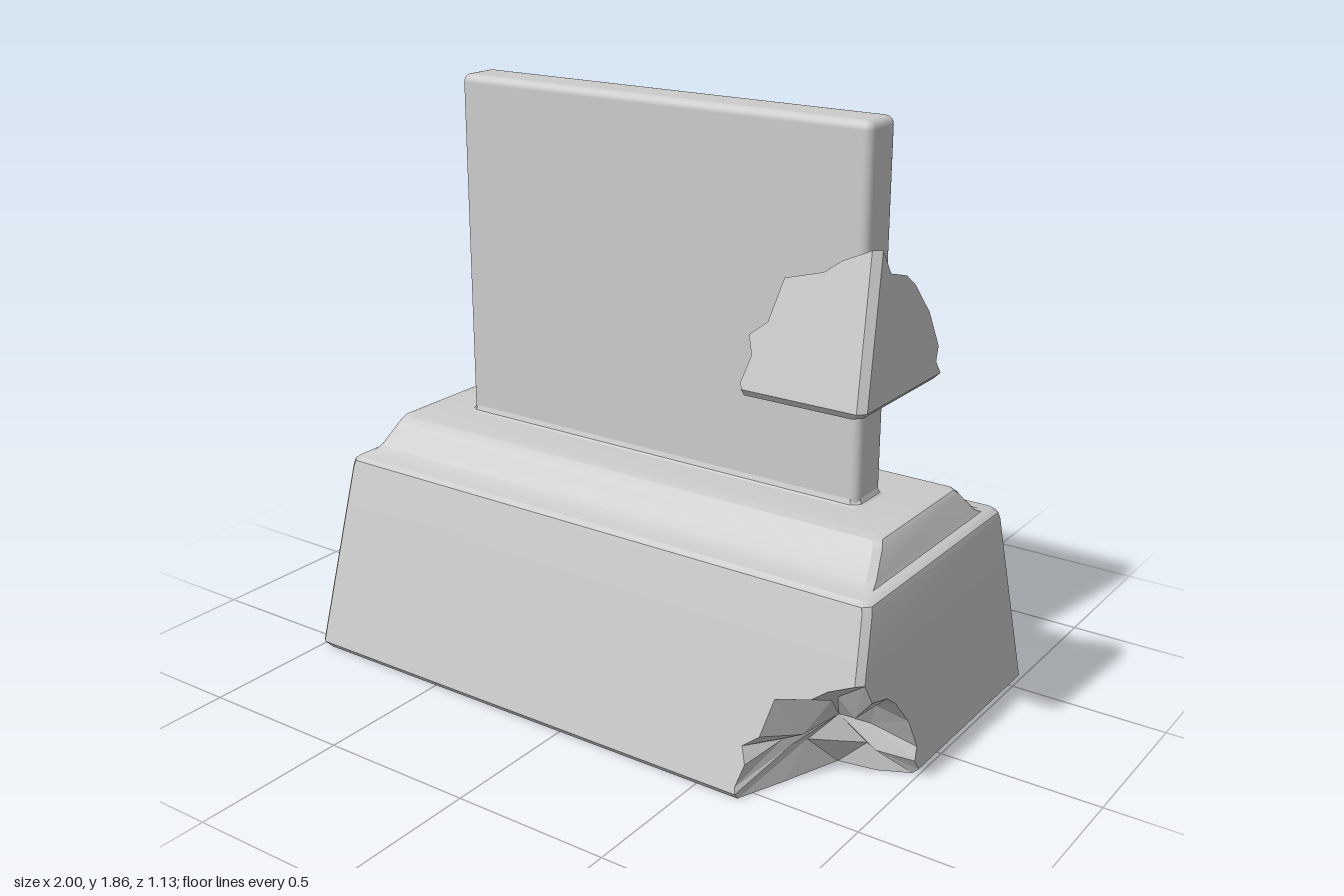
import * as THREE from 'three';
import { toCreasedNormals } from 'three/addons/utils/BufferGeometryUtils.js';
import { RoundedBoxGeometry } from 'three/addons/geometries/RoundedBoxGeometry.js';

const BEVEL = 0.02, BREAK_TOP = 0.415, BAND = 0.45, LIFT = 1.205;

// Half width and half depth of the sloping plinth walls
const halfX = y => 1 - 0.065 * (y - 0.02);
const halfZ = y => 0.565 - 0.246 * (y - 0.02);

// Rectangular ring with cut corners, counter-clockwise from above, front side first
function ring([y, hx, hz], c = BEVEL) {
  return [[c - hx, hz], [hx - c, hz], [hx, hz - c], [hx, c - hz],
    [hx - c, -hz], [c - hx, -hz], [-hx, c - hz], [-hx, hz - c]].map(([x, z]) => [x, y, z]);
}

// Collects triangles, quads and polygons
class Soup {
  constructor() { this.data = []; }
  tri(a, b, c) { this.data.push(...a, ...b, ...c); }
  quad(a, b, c, d) { this.tri(a, b, c); this.tri(a, c, d); }
  polygon(points, place) {
    const flat = points.map(p => new THREE.Vector2(...p));
    for (const f of THREE.ShapeUtils.triangulateShape(flat, [])) {
      this.tri(...f.map(i => place(...points[i])));
    }
  }
  loft(sections, firstSide = 0, c = BEVEL) {
    const rings = sections.map(s => ring(s, c));
    for (let k = 0; k + 1 < rings.length; k++) {
      for (let i = firstSide; i < 8; i++) {
        const j = (i + 1) % 8;
        this.quad(rings[k][i], rings[k][j], rings[k + 1][j], rings[k + 1][i]);
      }
    }
    return rings;
  }
  mesh(name, crease) {
    const g = new THREE.BufferGeometry();
    g.setAttribute('position', new THREE.Float32BufferAttribute(this.data, 3));
    g.computeVertexNormals();
    const m = new THREE.Mesh(crease ? toCreasedNormals(g, crease) : g,
      new THREE.MeshStandardMaterial({ color: 0xcccccc, flatShading: !crease }));
    m.name = name;
    return m;
  }
}

// Placement of 2D outlines on the front wall, right-hand wall (u = -z) and underside
const onFront = (x, y) => [x, y, halfZ(y)];
const onSide = (u, y) => [halfX(y), y, -u];
const onBottom = (x, z) => [x, 0, z];

// Jagged crack lines: up the front, down the side, back across the underside
const frontCrack = [[0.64, 0.02], [0.636, 0.04], [0.657, 0.11], [0.64, 0.16], [0.69, 0.2],
  [0.72, 0.315], [0.83, 0.345], [0.877, 0.38], [halfX(BREAK_TOP) - BEVEL, BREAK_TOP]];
const sideCrack = [[BEVEL - halfZ(BREAK_TOP), BREAK_TOP], [-0.41, 0.348], [-0.327, 0.325], [-0.28, 0.29],
  [-0.204, 0.2], [-0.155, 0.097], [-0.17, 0.058], [-0.145, 0.02]];
const bottomCrack = [[0.98, 0.145], [0.89, 0.19], [0.77, 0.21], [0.7, 0.4], [0.64, 0.55]];
const reversed = list => [...list].reverse();

// Faceted broken surface spanning the crack loop
function fracture(soup, flip) {
  const loop = [...frontCrack.map(p => onFront(...p)), ...sideCrack.map(p => onSide(...p)),
    ...bottomCrack.map(p => onBottom(...p))];
  const centre = [0.79, 0.18, 0.25], n = loop.length;
  const inner = [];
  for (let i = 0; i < n; i += 2) {
    inner.push(loop[i].map((v, k) => v + (centre[k] - v) * 0.5 + 0.022 * Math.sin(i * 5.3 + k * 2.1)));
  }
  const tri = (a, b, c) => (flip ? soup.tri(b, a, c) : soup.tri(a, b, c));
  inner.forEach((p, j) => {
    const next = inner[(j + 1) % inner.length];
    const a = loop[2 * j], b = loop[2 * j + 1], c = loop[(2 * j + 2) % n];
    tri(a, b, p);
    tri(b, c, next);
    tri(b, next, p);
    tri(p, next, centre);
  });
}

export function createModel() {
  const model = new THREE.Group();
  const foot = [0, 0.98, 0.55], low = [0.02, halfX(0.02), halfZ(0.02)], band = [BAND, halfX(BAND), halfZ(BAND)];
  const [r0, r1, r2] = [foot, low, band].map(s => ring(s));
  const frontEnd = frontCrack[frontCrack.length - 1], sideEnd = sideCrack[sideCrack.length - 1];
  const cornerF = onFront(...frontEnd), cornerS = onSide(...sideCrack[0]);
  const bevelF = [0.64, 0, 0.55], bevelS = [0.98, 0, 0.145];
  const crackF = onFront(...frontCrack[0]), crackS = onSide(...sideEnd);

  // Plinth: unbroken lower sides, then the stepped top
  const plinth = new Soup();
  plinth.loft([foot, low, band], 3);
  const rings = plinth.loft([band, [0.605, 0.962, 0.421], [0.625, 0.957, 0.415], [0.637, 0.942, 0.4],
    [0.64, 0.927, 0.355], [0.655, 0.92, 0.325], [0.725, 0.898, 0.255], [0.74, 0.888, 0.238], [0.745, 0.87, 0.215]]);
  plinth.polygon(rings[rings.length - 1].map(p => [p[0], -p[2]]), (x, u) => [x, 0.745, -u]);

  // Plinth: walls and underside around the missing corner
  plinth.polygon([[r1[0][0], 0.02], ...frontCrack, [r2[1][0], BAND], [r2[0][0], BAND]], onFront);
  plinth.polygon([[-r1[3][2], 0.02], [-r2[3][2], BAND], [-r2[2][2], BAND], ...sideCrack], onSide);
  plinth.quad(cornerF, cornerS, r2[2], r2[1]);
  plinth.quad(r0[0], bevelF, crackF, r1[0]);
  plinth.quad(bevelS, r0[3], r1[3], crackS);
  const flat = r0.map(p => [p[0], p[2]]);
  plinth.polygon([flat[5], flat[4], flat[3], ...bottomCrack, flat[0], flat[7], flat[6]], onBottom);
  model.add(plinth.mesh('plinth', 0.5));

  const scar = new Soup();
  fracture(scar, true);
  model.add(scar.mesh('brokenCorner'));

  // Loose corner piece floating above its place
  const chip = new THREE.Group();
  chip.name = 'cornerFragment';
  chip.position.y = LIFT;
  const skin = new Soup();
  skin.polygon([[r1[1][0], 0.02], ...reversed(frontCrack)], onFront);
  skin.polygon([[-r1[2][2], 0.02], ...reversed(sideCrack)], onSide);
  skin.quad(r1[1], r1[2], cornerS, cornerF);
  skin.quad(bevelF, r0[1], r1[1], crackF);
  skin.quad(r0[1], r0[2], r1[2], r1[1]);
  skin.quad(r0[2], bevelS, crackS, r1[2]);
  skin.polygon([bottomCrack[0], flat[2], flat[1], ...reversed(bottomCrack.slice(1))], onBottom);
  const inside = new Soup();
  fracture(inside, false);
  chip.add(skin.mesh('fragmentSkin', 0.5), inside.mesh('fragmentBreak'));
  model.add(chip);

  // Upright slab with a small flare where it meets the plinth
  const slab = new THREE.Mesh(new RoundedBoxGeometry(1.45, 1.135, 0.146, 3, 0.026),
    new THREE.MeshStandardMaterial({ color: 0xcccccc }));
  slab.name = 'slab';
  slab.position.y = 1.2875;
  model.add(slab);
  const flare = new Soup();
  flare.loft([[0.744, 0.738, 0.086], [0.75, 0.73, 0.078], [0.765, 0.725, 0.073]], 0, 0.022);
  model.add(flare.mesh('slabFlare', 0.6));

  return model;
}
